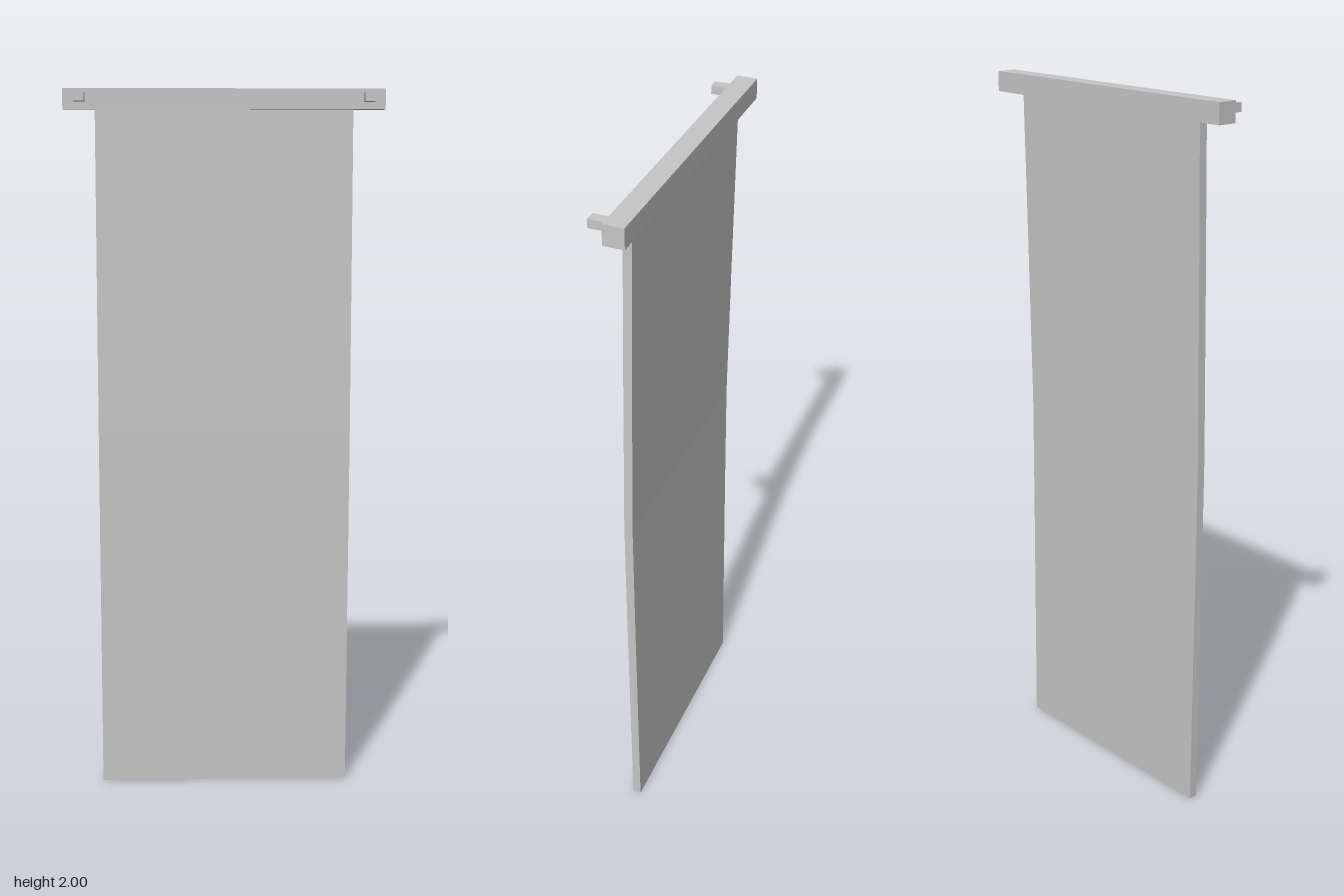
import * as THREE from 'three';

export function createModel() {
  const model = new THREE.Group();
  const gray = new THREE.MeshStandardMaterial({ color: 0xc6c6c6 });
  gray.name = 'light gray';

  const add = (name, geometry, x = 0, y = 0, z = 0) => {
    const mesh = new THREE.Mesh(geometry, gray);
    mesh.name = name;
    mesh.position.set(x, y, z);
    model.add(mesh);
  };

  // Top rail
  add('topRail', new THREE.BoxGeometry(0.892, 0.056, 0.057), 0, 1.972, -0.0265);

  // Pegs on the front of the rail
  for (const side of [-1, 1]) {
    add(side > 0 ? 'leftPeg' : 'rightPeg',
      new THREE.BoxGeometry(0.03, 0.024, 0.052), side * 0.4, 1.976, 0.027);
  }

  // Hanging panel: a gently bowed side profile (z, y) swept across the width
  const front = [
    [-0.004, 0], [-0.001, 0.35], [0.002, 0.7], [0.004, 1.04], [-0.003, 1.5], [-0.011, 1.96],
  ].map(([z, y]) => new THREE.Vector2(z, y));
  const thickness = 0.024;
  const back = front.map(p => new THREE.Vector2(p.x - thickness, p.y)).reverse();
  const width = 0.716;
  const panel = new THREE.ExtrudeGeometry(new THREE.Shape([...front, ...back]), {
    depth: width, bevelEnabled: false,
  });
  panel.translate(0, 0, -width / 2);
  panel.rotateY(-Math.PI / 2);
  add('hangingPanel', panel);

  return model;
}
